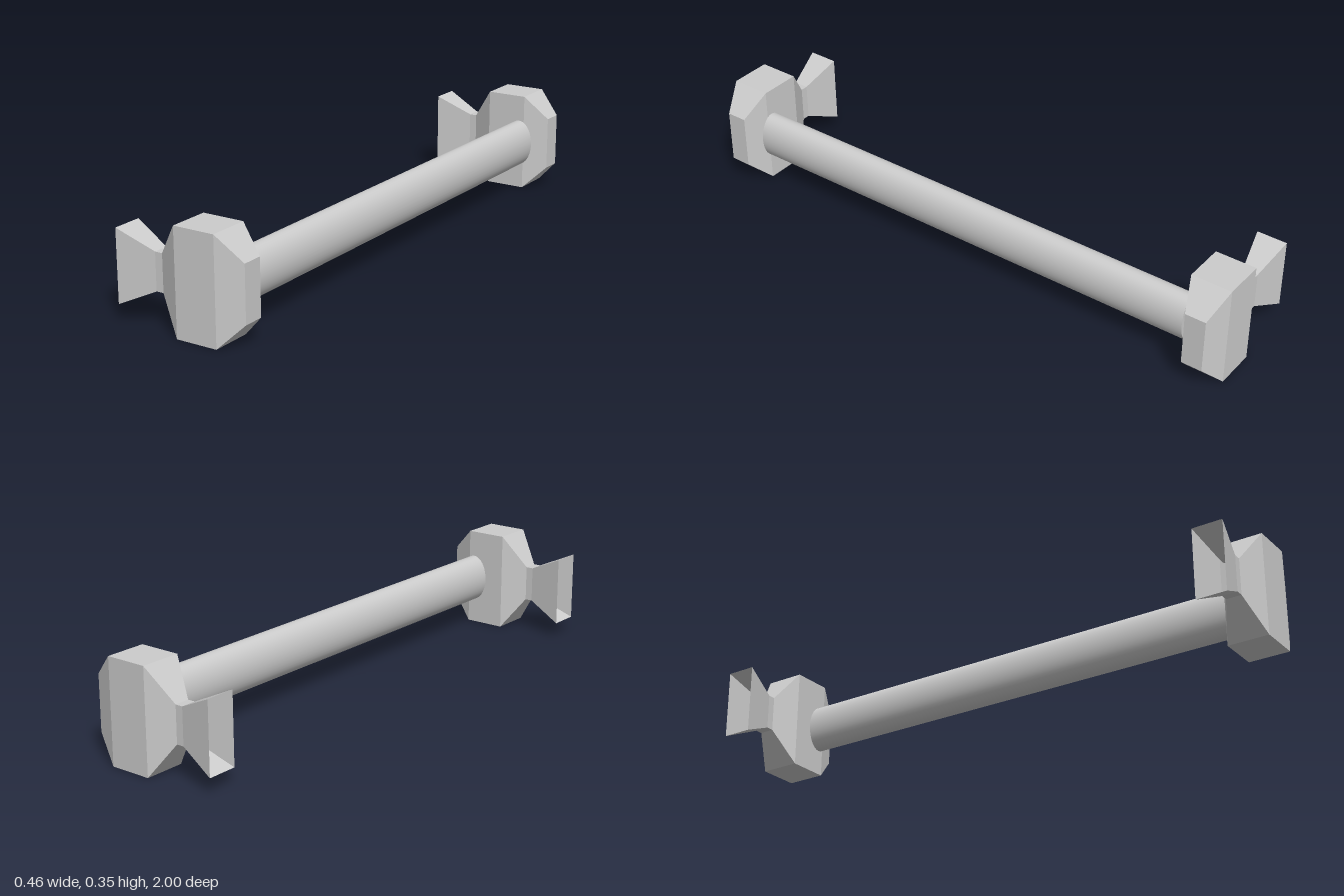
import * as THREE from 'three';

const MID_Y = 0.175;

// Bracket: rectangular sections along x as [x, half height, half depth]
const SECTIONS = [
  [-0.23, 0.12, 0.052],
  [-0.104, 0.062, 0.026],
  [-0.078, 0.062, 0.026],
  [0.003, 0.174, 0.07],
  [0.147, 0.174, 0.07],
  [0.229, 0.093, 0.036],
];

function bracketGeometry() {
  const positions = [];
  const index = [];
  for (const [x, h, d] of SECTIONS) {
    positions.push(x, -h, d, x, -h, -d, x, h, -d, x, h, d);
  }
  for (let s = 0; s < SECTIONS.length - 1; s++) {
    for (let i = 0; i < 4; i++) {
      const a = s * 4 + i, b = s * 4 + (i + 1) % 4;
      index.push(a, b, b + 4, a, b + 4, a + 4);
    }
  }
  // Close the outer end; the flared end stays open
  const e = (SECTIONS.length - 1) * 4;
  index.push(e, e + 1, e + 2, e, e + 2, e + 3);

  const indexed = new THREE.BufferGeometry();
  indexed.setAttribute('position', new THREE.Float32BufferAttribute(positions, 3));
  indexed.setIndex(index);
  const geometry = indexed.toNonIndexed();
  geometry.computeVertexNormals();
  return geometry;
}

export function createModel() {
  const model = new THREE.Group();
  model.name = 'barHandle';

  // Faceted mounting brackets at both ends
  const bracketMaterial = new THREE.MeshStandardMaterial({
    color: 0xcccccc, flatShading: true, side: THREE.DoubleSide,
  });
  const geometry = bracketGeometry();
  for (const [name, z] of [['frontBracket', 0.93], ['backBracket', -0.93]]) {
    const bracket = new THREE.Mesh(geometry, bracketMaterial);
    bracket.name = name;
    bracket.position.set(0, MID_Y, z);
    model.add(bracket);
  }

  // Oval grip bar between the brackets
  const barGeometry = new THREE.CylinderGeometry(1, 1, 1.72, 40);
  barGeometry.rotateX(Math.PI / 2);
  barGeometry.scale(0.053, 0.083, 1);
  const bar = new THREE.Mesh(barGeometry, new THREE.MeshStandardMaterial({ color: 0xcccccc }));
  bar.name = 'gripBar';
  bar.position.set(0.127, 0.173, 0);
  model.add(bar);

  return model;
}
